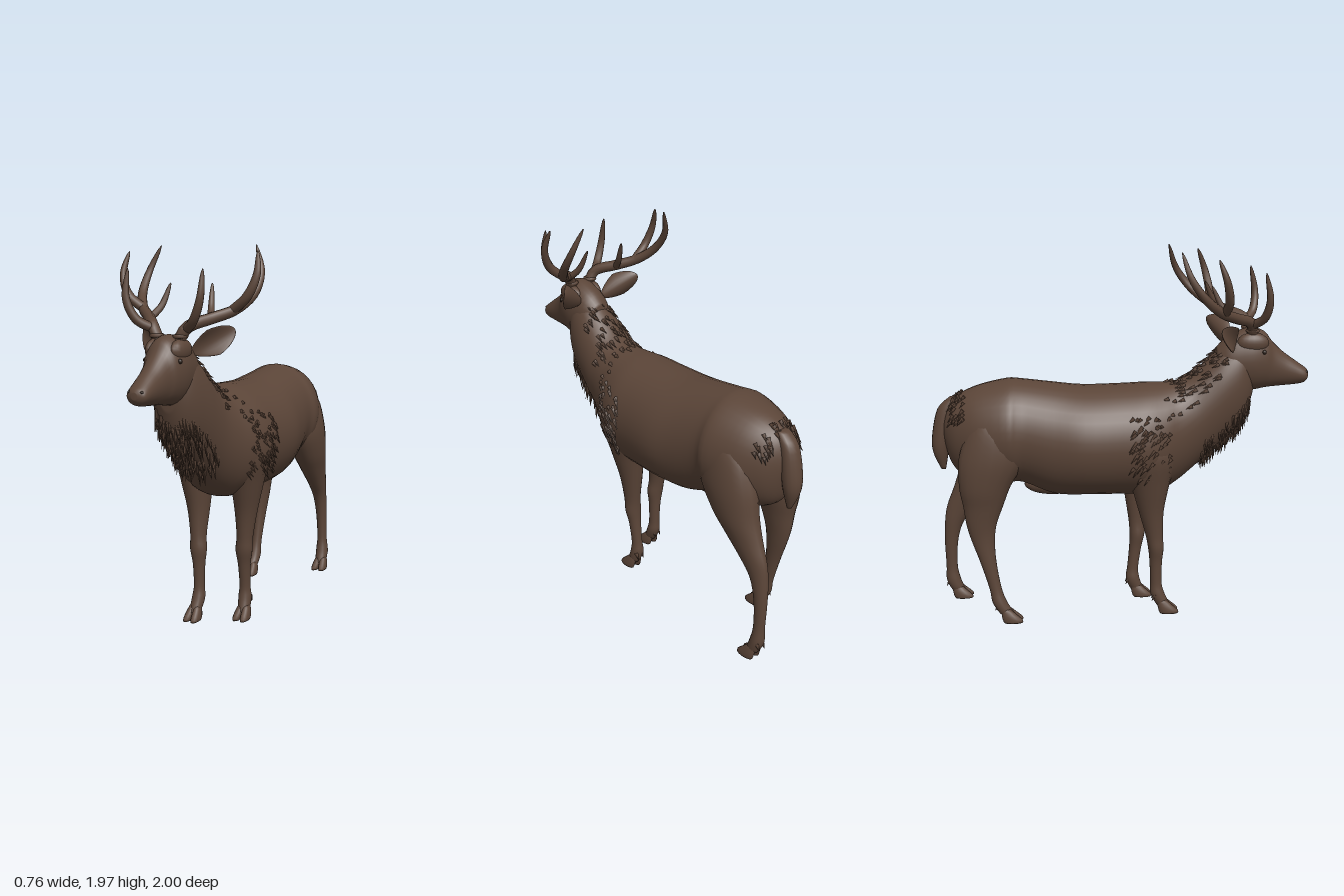
import * as THREE from 'three';
import { mergeGeometries } from 'three/addons/utils/BufferGeometryUtils.js';

const coat = new THREE.MeshStandardMaterial({ name: 'brown coat', color: 0x5b4538 });
const dark = new THREE.MeshStandardMaterial({ name: 'dark eye', color: 0x2c211a });

// small seeded random
let seed = 7;
const rand = (a, b) => {
  seed = (seed * 16807) % 2147483647;
  return a + (b - a) * (seed / 2147483647);
};

function add(group, name, geometry, material = coat) {
  const mesh = new THREE.Mesh(geometry, material);
  mesh.name = name;
  group.add(mesh);
  return mesh;
}

// smooth pass through rows of numbers (Catmull-Rom on every column)
function smoothRows(rows, steps) {
  const out = [];
  const at = i => rows[Math.min(rows.length - 1, Math.max(0, i))];
  for (let i = 0; i < rows.length - 1; i++) {
    for (let s = 0; s < steps; s++) {
      const t = s / steps;
      out.push(rows[i].map((_, k) => {
        const [a, b, c, d] = [at(i - 1)[k], at(i)[k], at(i + 1)[k], at(i + 2)[k]];
        return 0.5 * (2 * b + (c - a) * t + (2 * a - 5 * b + 4 * c - d) * t * t + (3 * b - a - 3 * c + d) * t ** 3);
      }));
    }
  }
  out.push(rows[rows.length - 1]);
  return out;
}

// Loft of elliptical rings: rows are [t, a, b, ra, rb].
// axis 'z': rings in x-y, z ascending. axis 'y': rings in x-z, y descending.
function loft(rows, axis, sides = 24, steps = 4) {
  const rings = smoothRows(rows, steps), pos = [], idx = [];
  const put = (t, a, b) => axis === 'z' ? pos.push(a, b, t) : pos.push(a, t, b);
  for (const [t, a, b, ra, rb] of rings) {
    for (let j = 0; j < sides; j++) {
      const q = j / sides * Math.PI * 2;
      put(t, a + ra * Math.cos(q), b + rb * Math.sin(q));
    }
  }
  for (let i = 0; i < rings.length - 1; i++) {
    for (let j = 0; j < sides; j++) {
      const k = (j + 1) % sides, p = i * sides, n = p + sides;
      idx.push(p + j, p + k, n + j, p + k, n + k, n + j);
    }
  }
  const c = rings.length * sides, e = c - sides;
  put(...rings[0]);
  put(...rings[rings.length - 1]);
  for (let j = 0; j < sides; j++) {
    const k = (j + 1) % sides;
    idx.push(c, k, j, c + 1, e + j, e + k);
  }
  const g = new THREE.BufferGeometry();
  g.setAttribute('position', new THREE.Float32BufferAttribute(pos, 3));
  g.setIndex(idx);
  g.computeVertexNormals();
  return g;
}

// profile rows [z, top, bottom, halfWidth] to loft rows
const profile = rows => rows.map(([z, t, b, w]) => [z, 0, (t + b) / 2, w, (t - b) / 2]);

const TORSO = profile([
  [-0.93, 1.12, 0.96, 0.05], [-0.9, 1.18, 0.86, 0.1], [-0.85, 1.225, 0.8, 0.15], [-0.75, 1.27, 0.76, 0.21],
  [-0.6, 1.303, 0.75, 0.254], [-0.52, 1.3, 0.745, 0.24], [-0.36, 1.28, 0.68, 0.262], [-0.2, 1.262, 0.672, 0.288],
  [0, 1.265, 0.67, 0.28], [0.12, 1.27, 0.67, 0.272], [0.22, 1.27, 0.69, 0.24], [0.3, 1.28, 0.735, 0.2],
  [0.38, 1.32, 0.8, 0.17], [0.46, 1.39, 0.87, 0.156], [0.54, 1.46, 0.945, 0.145], [0.62, 1.5, 1.02, 0.125],
  [0.67, 1.48, 1.1, 0.095], [0.7, 1.4, 1.2, 0.05]]);

const HEAD = profile([
  [0.5, 1.45, 1.29, 0.06], [0.56, 1.51, 1.25, 0.095], [0.64, 1.55, 1.225, 0.108], [0.7, 1.558, 1.225, 0.108],
  [0.76, 1.535, 1.235, 0.094], [0.8, 1.485, 1.24, 0.076], [0.86, 1.428, 1.245, 0.064], [0.92, 1.385, 1.25, 0.058],
  [0.97, 1.35, 1.258, 0.053], [0.99, 1.335, 1.272, 0.04], [1, 1.32, 1.288, 0.015]]);

// legs: [y, x, z, rx, rz]
const FRONT_LEG = [
  [1.08, 0.15, 0.12, 0.07, 0.1], [0.93, 0.155, 0.12, 0.105, 0.15], [0.76, 0.14, 0.112, 0.085, 0.105],
  [0.6, 0.127, 0.1, 0.06, 0.068], [0.46, 0.12, 0.1, 0.044, 0.047], [0.38, 0.115, 0.1, 0.046, 0.042],
  [0.3, 0.112, 0.09, 0.034, 0.034], [0.18, 0.11, 0.076, 0.029, 0.031], [0.12, 0.11, 0.075, 0.035, 0.038],
  [0.07, 0.113, 0.09, 0.033, 0.038], [0.045, 0.115, 0.102, 0.028, 0.036]];
const HIND_UPPER = [[1.2, 0.1, -0.66, 0.03, 0.03], [1.1, 0.14, -0.66, 0.08, 0.12], [0.93, 0.15, -0.675, 0.102, 0.175]];
const LEFT_HIND = [...HIND_UPPER,
  [0.77, 0.155, -0.735, 0.088, 0.145], [0.66, 0.155, -0.8, 0.066, 0.115], [0.56, 0.155, -0.868, 0.049, 0.085],
  [0.47, 0.155, -0.915, 0.039, 0.053], [0.35, 0.16, -0.938, 0.032, 0.037], [0.2, 0.165, -0.942, 0.028, 0.031],
  [0.12, 0.168, -0.937, 0.035, 0.039], [0.07, 0.17, -0.92, 0.034, 0.039], [0.045, 0.172, -0.908, 0.028, 0.036]];
const RIGHT_HIND = [...HIND_UPPER,
  [0.77, 0.155, -0.72, 0.088, 0.135], [0.66, 0.155, -0.733, 0.066, 0.105], [0.56, 0.155, -0.745, 0.05, 0.08],
  [0.47, 0.155, -0.74, 0.04, 0.062], [0.35, 0.16, -0.718, 0.033, 0.043], [0.2, 0.165, -0.685, 0.028, 0.032],
  [0.12, 0.168, -0.665, 0.035, 0.038], [0.07, 0.17, -0.638, 0.033, 0.039], [0.045, 0.172, -0.62, 0.028, 0.036]];

function leg(name, rows, side) {
  const g = new THREE.Group();
  g.name = name;
  add(g, 'leg', loft(rows.map(([y, x, ...r]) => [y, x * side, ...r]), 'y', 18));
  const [, x0, z] = rows[rows.length - 1], x = x0 * side;
  for (const s of [-1, 1]) {
    // cloven toes and dewclaws
    add(g, 'hoofToe', loft([[0.08, x + s * 0.013, z - 0.012, 0.016, 0.024], [0.05, x + s * 0.018, z + 0.005, 0.021, 0.04],
      [0.02, x + s * 0.022, z + 0.024, 0.022, 0.053], [0.005, x + s * 0.022, z + 0.028, 0.02, 0.05]], 'y', 12, 2));
    const claw = add(g, 'dewclaw', new THREE.ConeGeometry(0.012, 0.045, 8));
    claw.position.set(x + s * 0.018, 0.095, z - 0.058);
    claw.rotation.x = Math.PI + 0.5;
  }
  return g;
}

// tapering antler branch
function branch(points, radius, side) {
  const curve = new THREE.CatmullRomCurve3(points.map(([x, y, z]) => new THREE.Vector3(x * side, y, z)));
  const seg = 24, sides = 10;
  const g = new THREE.TubeGeometry(curve, seg, radius, sides), p = g.attributes.position, v = new THREE.Vector3();
  for (let i = 0; i <= seg; i++) {
    const c = curve.getPointAt(i / seg), k = Math.sqrt(1 - (i / seg) ** 2 * 0.995);
    for (let j = 0; j <= sides; j++) {
      const n = i * (sides + 1) + j;
      v.fromBufferAttribute(p, n).sub(c).multiplyScalar(k).add(c);
      p.setXYZ(n, v.x, v.y, v.z);
    }
  }
  return g;
}

function antler(side) {
  const g = new THREE.Group();
  g.name = side > 0 ? 'leftAntler' : 'rightAntler';
  add(g, 'mainBeam', branch([[0.05, 1.52, 0.685], [0.09, 1.59, 0.67], [0.17, 1.63, 0.575], [0.25, 1.668, 0.49],
    [0.305, 1.74, 0.4], [0.31, 1.84, 0.325], [0.263, 1.97, 0.28]], 0.029, side));
  add(g, 'browTine', branch([[0.085, 1.58, 0.67], [0.15, 1.625, 0.722], [0.193, 1.72, 0.74], [0.197, 1.86, 0.715]], 0.023, side));
  add(g, 'middleTine', branch([[0.165, 1.62, 0.575], [0.135, 1.68, 0.51], [0.113, 1.79, 0.455]], 0.018, side));
  add(g, 'outerTine', branch([[0.235, 1.66, 0.5], [0.32, 1.73, 0.51], [0.36, 1.83, 0.49], [0.348, 1.94, 0.45]], 0.024, side));
  const burr = add(g, 'burr', new THREE.TorusGeometry(0.027, 0.01, 8, 16));
  burr.position.set(0.062 * side, 1.55, 0.682);
  burr.rotation.x = Math.PI / 2;
  return g;
}

// cupped leaf-shaped ear
function ear(side) {
  const g = new THREE.SphereGeometry(1, 24, 16), p = g.attributes.position;
  for (let i = 0; i < p.count; i++) {
    const x = p.getX(i), y = p.getY(i), z = p.getZ(i);
    const w = 0.066 * x * (y > 0 ? 1 - 0.15 * y : 1 + 0.35 * y);
    p.setXYZ(i, w, 0.118 * y, 0.012 * z + 9 * w * w - 0.012);
  }
  g.computeVertexNormals();
  const up = new THREE.Vector3(0.16 * side, 0.1, -0.09).normalize();
  const face = new THREE.Vector3(0.45 * side, -0.1, 0.9);
  face.addScaledVector(up, -face.dot(up)).normalize();
  const m = new THREE.Matrix4().makeBasis(new THREE.Vector3().crossVectors(up, face), up, face);
  return g.applyMatrix4(m.setPosition(0.165 * side, 1.52, 0.55));
}

// tufts of fur on a loft along z: z range, ring angle range, lean (outward, y, z)
function tufts(count, z0, z1, q0, q1, lean, len, mirror) {
  const list = [], rows = smoothRows(TORSO, 8), up = new THREE.Vector3(0, 1, 0);
  for (let i = 0; i < count; i++) {
    const z = rand(z0, z1), q = rand(q0, q1), l = len * rand(0.6, 1.2);
    const [, , b, ra, rb] = rows.find(r => r[0] >= z);
    const side = mirror && i % 2 ? -1 : 1;
    const n = new THREE.Vector3(Math.cos(q) / ra * side, Math.sin(q) / rb, 0).normalize();
    const d = new THREE.Vector3(rand(-0.12, 0.12), lean[1], lean[2]).addScaledVector(n, lean[0]).normalize();
    const cone = new THREE.ConeGeometry(0.011, l, 5).translate(0, l * 0.3, 0);
    cone.applyQuaternion(new THREE.Quaternion().setFromUnitVectors(up, d));
    list.push(cone.translate(ra * Math.cos(q) * side, b + rb * Math.sin(q), z));
  }
  return mergeGeometries(list);
}

export function createModel() {
  const deer = new THREE.Group();
  deer.name = 'stag';
  add(deer, 'torsoAndNeck', loft(TORSO, 'z', 36));
  add(deer, 'head', loft(HEAD, 'z', 28));
  add(deer, 'tail', loft([[1.21, 0, -0.87, 0.035, 0.03], [1.15, 0, -0.92, 0.048, 0.042], [1.02, 0, -0.945, 0.054, 0.05],
    [0.92, 0, -0.955, 0.046, 0.042], [0.82, 0, -0.945, 0.012, 0.012]], 'y', 16));
  const sheath = add(deer, 'bellySheath', new THREE.SphereGeometry(1, 16, 12));
  sheath.scale.set(0.06, 0.06, 0.16);
  sheath.position.set(0, 0.725, -0.36);

  // legs: the right pair steps ahead of the left pair
  deer.add(leg('leftFrontLeg', FRONT_LEG, 1));
  deer.add(leg('rightFrontLeg', FRONT_LEG.map(([y, x, z, ...r]) => [y, x, z + 0.125 * (1 - y) / 0.95, ...r]), -1));
  deer.add(leg('leftHindLeg', LEFT_HIND, 1));
  deer.add(leg('rightHindLeg', RIGHT_HIND, -1));

  for (const side of [-1, 1]) {
    const word = side > 0 ? 'left' : 'right';
    deer.add(antler(side));
    add(deer, word + 'Ear', ear(side));
    const brow = add(deer, word + 'Brow', new THREE.SphereGeometry(1, 18, 12));
    brow.scale.set(0.04, 0.055, 0.085);
    brow.position.set(0.065 * side, 1.485, 0.685);
    const eye = add(deer, word + 'Eye', new THREE.SphereGeometry(0.012, 14, 10), dark);
    eye.position.set(0.091 * side, 1.44, 0.742);
    const nostril = add(deer, word + 'Nostril', new THREE.SphereGeometry(1, 10, 8), dark);
    nostril.scale.set(0.009, 0.007, 0.01);
    nostril.position.set(0.032 * side, 1.322, 0.984);
  }

  // shaggy fur
  add(deer, 'throatRuff', tufts(230, 0.42, 0.68, -2.6, -0.54, [0.2, -1, 0], 0.085, false));
  add(deer, 'shoulderFur', tufts(150, 0.04, 0.24, -0.6, 0.6, [0.17, -0.7, -0.6], 0.06, true));
  add(deer, 'napeFur', tufts(90, 0.22, 0.55, 0.4, 2.74, [0.12, -0.45, -1], 0.055, false));
  add(deer, 'rumpFur', tufts(50, -0.89, -0.82, 0.4, 1.5, [0.15, -0.8, -0.6], 0.05, true));
  return deer;
}
